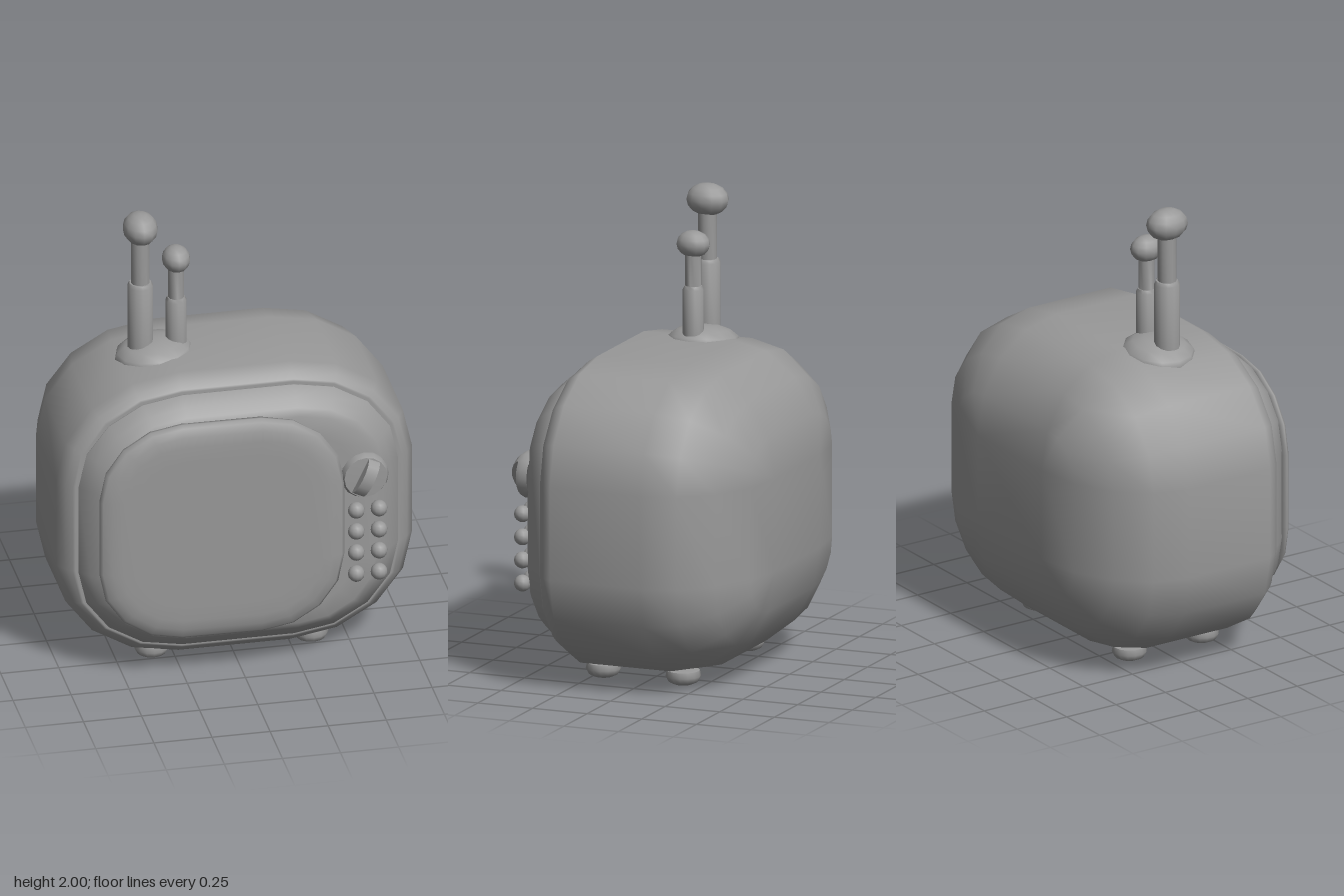
import * as THREE from 'three';
import { mergeVertices, toCreasedNormals } from 'three/addons/utils/BufferGeometryUtils.js';

const material = new THREE.MeshStandardMaterial({ color: 0x999999 });

function add(parent, name, geometry, x = 0, y = 0, z = 0) {
  const mesh = new THREE.Mesh(geometry, material);
  mesh.name = name;
  mesh.position.set(x, y, z);
  parent.add(mesh);
  return mesh;
}

// Rounded-rectangle sections stacked along z. Each ring is [z, c], where c
// scales the corner radii (rx, ry) around the fixed flat core (fx, fy).
function loft(fx, fy, rx, ry, rings) {
  const corners = [[1, 1], [-1, 1], [-1, -1], [1, -1]];
  const pos = [], index = [], n = 20;
  for (const [z, c] of rings) {
    corners.forEach(([sx, sy], q) => {
      for (let k = 0; k <= 4; k++) {
        const a = (q + k / 4) * Math.PI / 2;
        pos.push(sx * fx + rx * c * Math.cos(a), sy * fy + ry * c * Math.sin(a), z);
      }
    });
  }
  const last = rings.length - 1;
  const back = pos.length / 3, front = back + 1;
  pos.push(0, 0, rings[0][0], 0, 0, rings[last][0]);
  for (let j = 0; j < n; j++) {
    const k = (j + 1) % n;
    for (let i = 0; i < last; i++) {
      const a = i * n + j, b = i * n + k;
      index.push(a, b, b + n, a, b + n, a + n);
    }
    index.push(back, k, j, front, last * n + j, last * n + k);
  }
  const g = new THREE.BufferGeometry();
  g.setAttribute('position', new THREE.Float32BufferAttribute(pos, 3));
  g.setIndex(index);
  const merged = mergeVertices(g, 1e-4);
  merged.computeVertexNormals();
  return merged;
}

function lathe(points, sides, crease = 0.7) {
  const g = new THREE.LatheGeometry(points.map(p => new THREE.Vector2(...p)), sides);
  return toCreasedNormals(g, crease);
}

// Telescopic rod with an egg-shaped tip
function antenna(parent, name, x, r1, r2, step, top, ball) {
  const group = new THREE.Group();
  group.name = name;
  group.position.set(x, 0, 0.025);
  add(group, 'rod', lathe([
    [r1, 1.34], [r1, step - 0.015], [r1 - 0.008, step], [r2, step], [r2, top], [0, top],
  ], 12));
  add(group, 'tip', new THREE.SphereGeometry(1, 12, 8), 0, top, 0).scale.set(...ball);
  parent.add(group);
}

export function createModel() {
  const tv = new THREE.Group();
  tv.name = 'television';

  // Cabinet: round back, straight sides, bevelled front rim
  const rings = [];
  for (let i = 0; i <= 4; i++) {
    const a = i * Math.PI / 8;
    rings.push([-0.14 - 0.397 * Math.cos(a), Math.sin(a)]);
  }
  rings.push([0.27, 1], [0.315, 0.94], [0.34, 0.89], [0.343, 0.87], [0.343, 0.8]);
  add(tv, 'cabinet', loft(0.24, 0.2, 0.526, 0.46, rings), 0, 0.7, 0);

  // Front bezel, separated from the cabinet by a narrow step
  add(tv, 'bezel', loft(0.24, 0.2, 0.526, 0.46,
    [[0.335, 0.84], [0.352, 0.85], [0.4, 0.77], [0.435, 0.7], [0.455, 0.63], [0.465, 0.45]]), 0, 0.7, 0);

  // Slightly turned, cushioned screen
  const screen = add(tv, 'screen', loft(0.17, 0.17, 0.355, 0.335,
    [[-0.06, 0.98], [-0.03, 1], [-0.015, 0.96], [-0.002, 0.85], [0.004, 0.72], [0.004, 0.5]]), -0.095, 0.705, 0.497);
  screen.rotation.y = -0.022;

  // Tuning dial with a slanted half-round grip
  const dial = new THREE.Group();
  dial.name = 'dial';
  dial.position.set(0.52, 0.89, 0.44);
  tv.add(dial);
  add(dial, 'dialPlate', lathe([[0.1, 0], [0.103, 0.03], [0.092, 0.052], [0, 0.056]], 16))
    .rotation.x = Math.PI / 2;
  const grip = new THREE.CylinderGeometry(0.088, 0.088, 0.052, 16).rotateZ(Math.PI / 2).scale(1, 1, 0.65);
  add(dial, 'dialGrip', grip, 0, 0, 0.04).rotation.z = -0.45;

  // Two columns of buttons
  for (const x of [0.482, 0.58])
    for (let row = 0; row < 4; row++)
      add(tv, 'button', new THREE.SphereGeometry(0.036, 12, 8), x, 0.73 - row * 0.1, 0.475);

  // Antenna mount, tipped to follow the cabinet's shoulder, and pair of antennas
  const base = add(tv, 'antennaBase', new THREE.SphereGeometry(1, 12, 8), -0.293, 1.325, 0.02);
  base.scale.set(0.17, 0.08, 0.157);
  base.rotation.z = 0.1;
  antenna(tv, 'tallAntenna', -0.352, 0.055, 0.04, 1.675, 1.93, [0.074, 0.07, 0.094]);
  antenna(tv, 'shortAntenna', -0.198, 0.045, 0.034, 1.59, 1.77, [0.06, 0.058, 0.074]);

  // Feet
  for (const x of [-0.343, 0.343])
    for (const z of [0.205, -0.16])
      add(tv, 'foot', lathe([
        [0, 0], [0.04, 0.003], [0.063, 0.014], [0.075, 0.038], [0.07, 0.062], [0, 0.072],
      ], 14, 1), x, 0, z);

  return tv;
}
